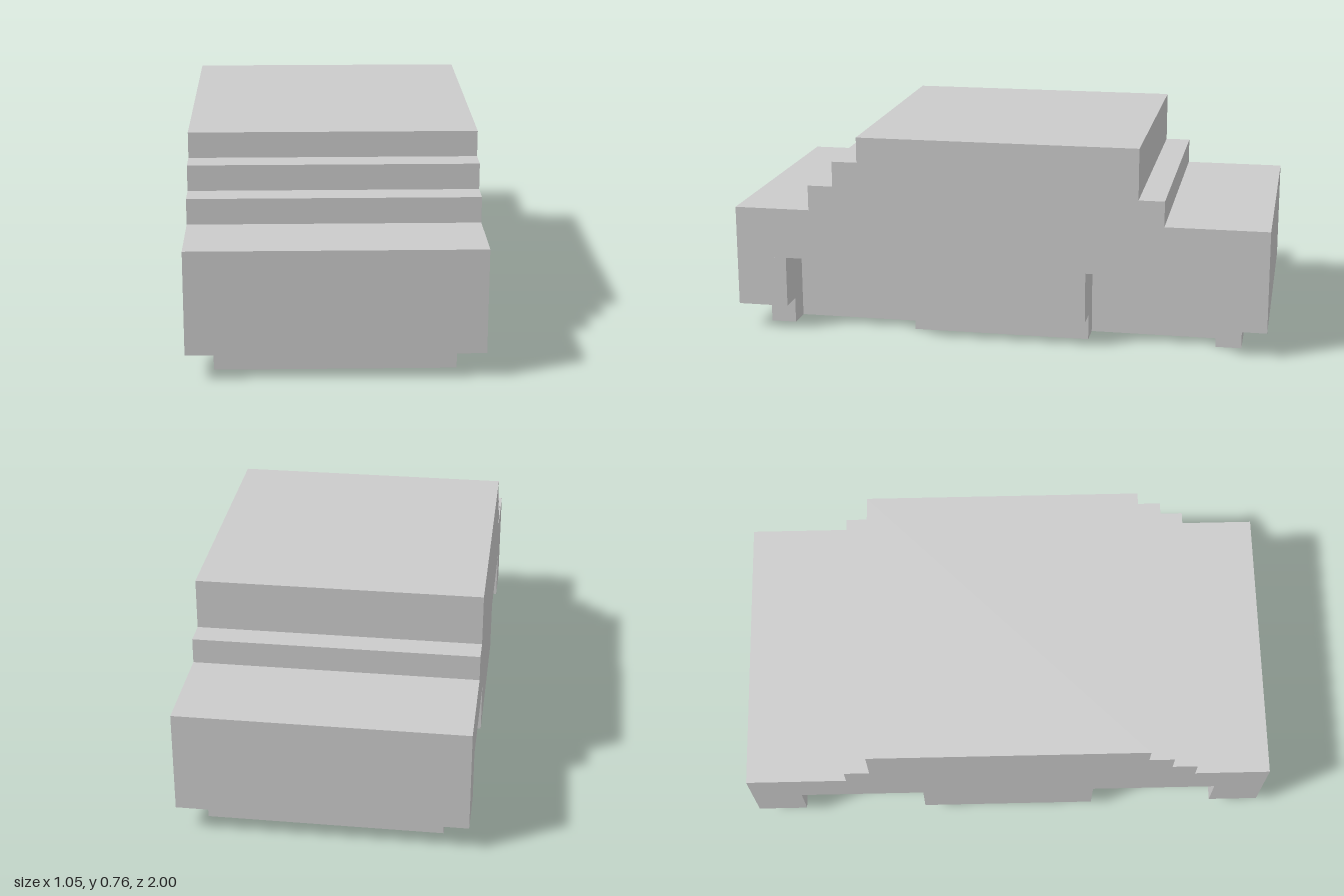
import * as THREE from 'three';

// One grid step: the car is 21 steps long, 11 wide and 8 high.
const U = 2 / 21;

export function createModel() {
  const car = new THREE.Group();
  car.name = 'blockCar';
  const material = new THREE.MeshStandardMaterial({ color: 0xcccccc, flatShading: true });

  const add = (name, geometry) => {
    const mesh = new THREE.Mesh(geometry, material);
    mesh.name = name;
    car.add(mesh);
  };
  // Box given by its extents in grid steps
  const block = (name, [x0, x1], [y0, y1], [z0, z1]) => {
    const g = new THREE.BoxGeometry((x1 - x0) * U, (y1 - y0) * U, (z1 - z0) * U);
    g.translate((x0 + x1) / 2 * U, (y0 + y1) / 2 * U, (z0 + z1) / 2 * U);
    add(name, g);
  };

  // Upper body: stepped side profile (z, y) with bonnet, windscreen, roof and boot
  const profile = [
    [-10.5, 3], [10.5, 3], [10.5, 5], [7.5, 5], [7.5, 6], [6.5, 6], [6.5, 7], [5.5, 7],
    [5.5, 8], [-5.5, 8], [-5.5, 6], [-6.5, 6], [-6.5, 5], [-10.5, 5],
  ];
  const shape = new THREE.Shape(profile.map(([z, y]) => new THREE.Vector2(z * U, y * U)));
  const upper = new THREE.ExtrudeGeometry(shape, { depth: 11 * U, bevelEnabled: false });
  upper.translate(0, 0, -5.5 * U);
  upper.rotateY(-Math.PI / 2);
  add('upperBody', upper);

  // Central core between the wheel wells
  block('lowerCore', [-3.5, 3.5], [1, 3], [-10.5, 10.5]);
  block('chassisCore', [-3.5, 3.5], [0, 1], [-9.5, 9.5]);

  // Side panels and inset sills, leaving the wheel wells open
  const sections = [
    { name: 'rear', panel: [-10.5, -8.5], sill: [-9.5, -8.5] },
    { name: 'middle', panel: [-3.5, 3.5], sill: [-3.5, 3.5] },
    { name: 'front', panel: [8.5, 10.5], sill: [8.5, 9.5] },
  ];
  for (const side of ['Left', 'Right']) {
    const span = (a, b) => (side === 'Left' ? [a, b] : [-b, -a]);
    for (const { name, panel, sill } of sections) {
      block(`${name}Panel${side}`, span(3.5, 5.5), [1, 3], panel);
      block(`${name}Sill${side}`, span(3.5, 4.5), [0, 1], sill);
    }
  }
  return car;
}
